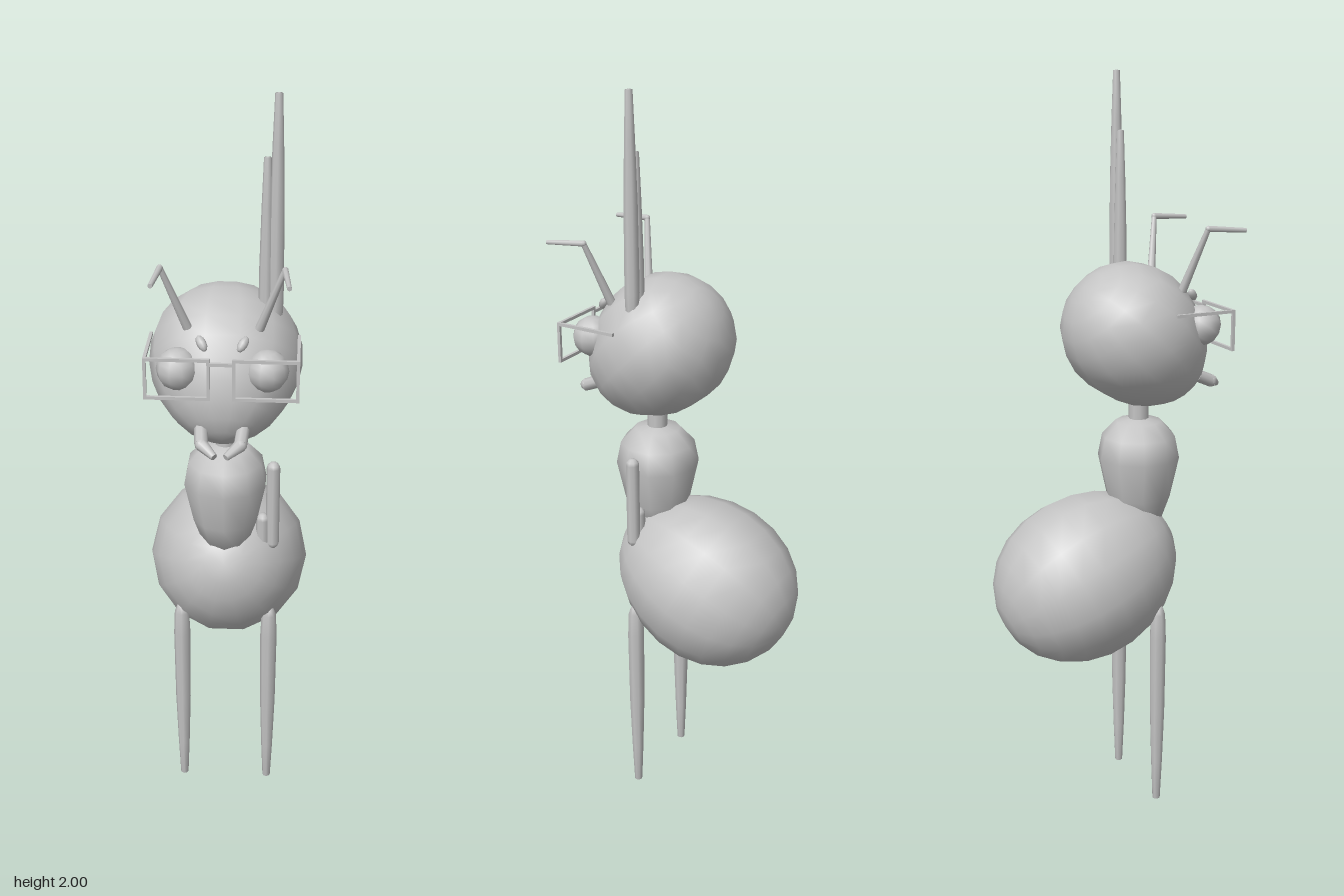
import * as THREE from 'three';
import { mergeVertices } from 'three/addons/utils/BufferGeometryUtils.js';

export function createModel() {
  const model = new THREE.Group();
  const grey = new THREE.MeshStandardMaterial({ color: 0xc4c4c4 });
  grey.name = 'plain grey';

  const add = (name, geometry, parent = model) => {
    const mesh = new THREE.Mesh(geometry, grey);
    mesh.name = name;
    parent.add(mesh);
    return mesh;
  };
  const group = (name) => {
    const g = new THREE.Group();
    g.name = name;
    model.add(g);
    return g;
  };

  // Egg: a sphere that widens towards its +y pole, then tilted about x
  const egg = (rx, ry, rz, taper, tilt) => {
    let g = new THREE.SphereGeometry(1, 14, 12);
    const p = g.attributes.position;
    for (let i = 0; i < p.count; i++) {
      const f = 1 + taper * p.getY(i);
      p.setXYZ(i, p.getX(i) * rx * f, p.getY(i) * ry, p.getZ(i) * rz * f);
    }
    g.deleteAttribute('uv');
    g.deleteAttribute('normal');
    g = mergeVertices(g, 1e-5);
    g.computeVertexNormals();
    return g.rotateX(tilt);
  };

  // Lathe from [radius, height] pairs, bottom to top
  const lathe = (pairs, sides = 8) =>
    new THREE.LatheGeometry(pairs.map(([r, y]) => new THREE.Vector2(r, y)), sides);

  // Tapered rod between two points
  const rod = (name, a, b, ra, rb, parent) => {
    const from = new THREE.Vector3(...a), to = new THREE.Vector3(...b);
    const dir = to.clone().sub(from);
    const m = add(name, new THREE.CylinderGeometry(rb, ra, dir.length(), 8), parent);
    m.position.copy(from).add(to).multiplyScalar(0.5);
    m.quaternion.setFromUnitVectors(new THREE.Vector3(0, 1, 0), dir.normalize());
  };

  // Body
  add('abdomen', egg(0.22, 0.265, 0.225, 0.06, -2.0)).position.set(0, 0.67, -0.067);
  add('thorax', lathe([[0, 0.795], [0.06, 0.8], [0.088, 0.88], [0.112, 0.99],
    [0.1, 1.05], [0.062, 1.09], [0, 1.103]], 10)).position.z = 0.09;
  add('neck', new THREE.CylinderGeometry(0.027, 0.027, 0.1, 10)).position.set(0, 1.12, 0.09);
  add('head', egg(0.195, 0.21, 0.18, 0.1, -0.8)).position.set(0, 1.32, 0.082);

  // Legs: standing pair, and a raised pair pointing upwards
  const limb = lathe([[0, 0], [0.011, 0.002], [0.016, 0.12], [0.021, 0.28], [0.023, 0.5],
    [0.02, 0.57], [0.012, 0.592], [0, 0.6]]);
  for (const x of [-0.122, 0.12]) add('standingLeg', limb).position.set(x, 0, 0.092);
  for (const [x, top] of [[0.124, 2], [0.1, 1.85]]) {
    const leg = add('raisedLeg', limb);
    leg.position.set(x, top, 0.083);
    leg.rotation.x = Math.PI;
    leg.scale.set(0.85, 1, 0.85);
  }

  // Upper limbs beside the thorax
  for (const [x, y0, y1] of [[0.126, 0.785, 1.045], [0.1, 0.77, 0.89]]) {
    add('upperLimb', new THREE.CapsuleGeometry(0.018, y1 - y0 - 0.036, 3, 8))
      .position.set(x, (y0 + y1) / 2, 0.09);
  }

  // Face parts, mirrored
  const glasses = group('glasses');
  const bar = (name, w, h, d, x, y, z) =>
    add(name, new THREE.BoxGeometry(w, h, d), glasses).position.set(x, y, z);
  for (const s of [-1, 1]) {
    add('eye', new THREE.SphereGeometry(0.053, 10, 8)).position.set(s * 0.11, 1.36, 0.216);

    const brow = add('brow', new THREE.SphereGeometry(1, 8, 6));
    brow.scale.set(0.012, 0.022, 0.012);
    brow.position.set(s * 0.05, 1.43, 0.222);
    brow.rotation.set(-0.7, 0, -s * 0.5);

    // Antenna with a bent tip
    const antenna = group(s > 0 ? 'leftAntenna' : 'rightAntenna');
    const knee = [s * 0.148, 1.615, 0.21];
    rod('stalk', [s * 0.088, 1.45, 0.17], knee, 0.012, 0.007, antenna);
    rod('tip', knee, [s * 0.16, 1.607, 0.314], 0.008, 0.006, antenna);
    add('knee', new THREE.SphereGeometry(0.008, 8, 6), antenna).position.set(...knee);

    // Curved mandible
    const jaw = group(s > 0 ? 'leftMandible' : 'rightMandible');
    const a = [s * 0.052, 1.21, 0.24], b = [s * 0.048, 1.19, 0.285], c = [s * 0.014, 1.173, 0.32];
    rod('base', a, b, 0.017, 0.017, jaw);
    rod('tip', b, c, 0.017, 0.009, jaw);
    add('joint', new THREE.SphereGeometry(0.017, 8, 6), jaw).position.set(...b);

    // Square rim and temple
    bar('topRim', 0.16, 0.008, 0.008, s * 0.107, 1.405, 0.268);
    bar('bottomRim', 0.16, 0.008, 0.008, s * 0.107, 1.305, 0.268);
    bar('outerRim', 0.008, 0.108, 0.008, s * 0.185, 1.355, 0.268);
    bar('innerRim', 0.008, 0.108, 0.008, s * 0.031, 1.355, 0.268);
    bar('temple', 0.008, 0.008, 0.17, s * 0.185, 1.405, 0.187);
  }
  bar('bridge', 0.06, 0.008, 0.008, 0, 1.395, 0.268);

  return model;
}
